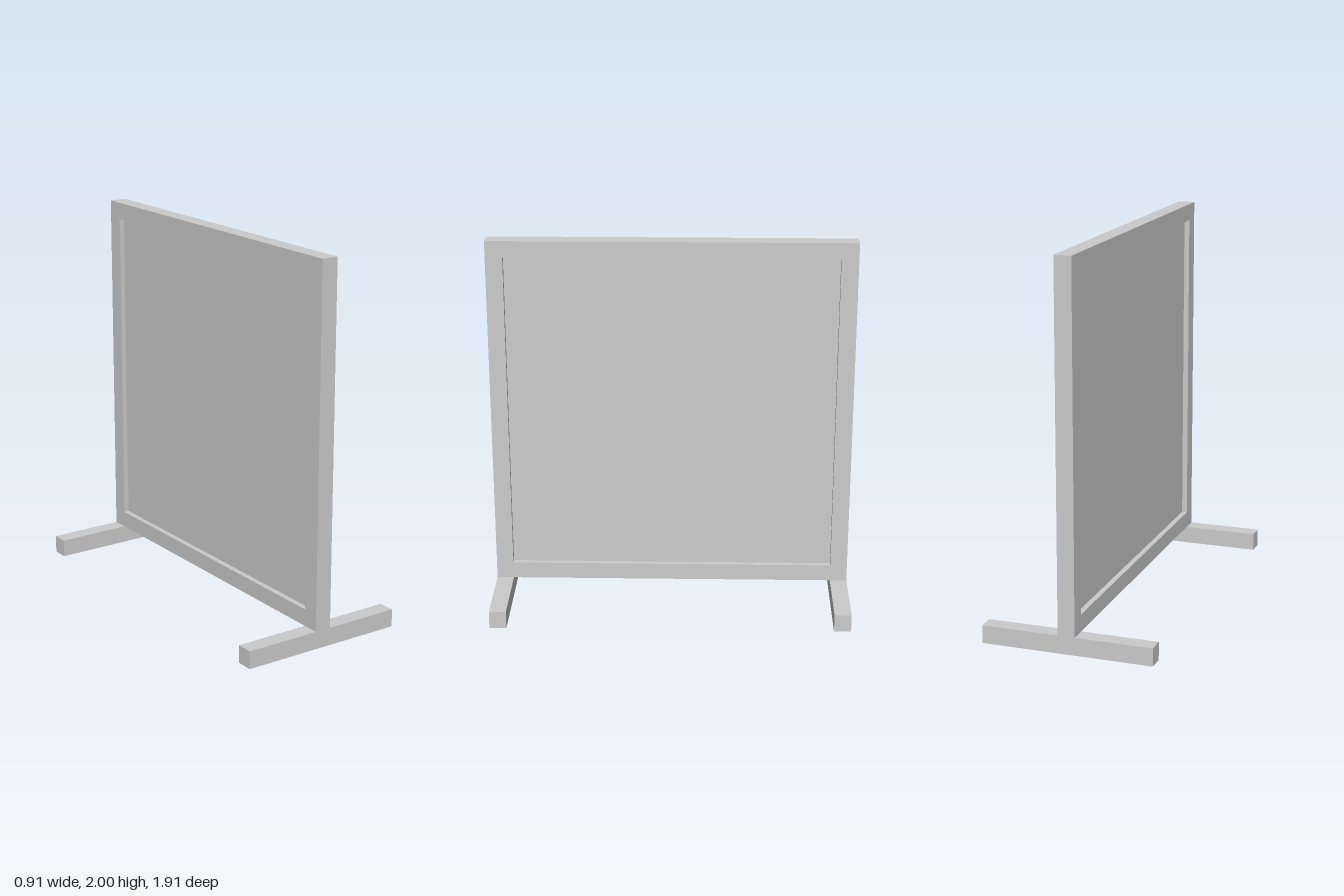
import * as THREE from 'three';

const material = new THREE.MeshStandardMaterial({ color: 0xcccccc, flatShading: true });

const BAR = 0.09;        // section of all frame bars and feet
const HALF = 0.955;      // half the screen's length along z
const BOTTOM = 0.095;    // underside of the frame
const TOP = 2;
const FOOT_LENGTH = 0.906;

// Closed rectangle path, wound either way
function rectangle(target, z, y0, y1) {
  target.moveTo(-z, y0);
  target.lineTo(z, y0);
  target.lineTo(z, y1);
  target.lineTo(-z, y1);
  target.closePath();
  return target;
}

function add(group, name, geometry, x, y, z) {
  const mesh = new THREE.Mesh(geometry, material);
  mesh.name = name;
  mesh.position.set(x, y, z);
  group.add(mesh);
  return mesh;
}

export function createModel() {
  const model = new THREE.Group();
  model.name = 'partitionScreen';

  // Rectangular frame, one extrusion with the opening cut out
  const outline = rectangle(new THREE.Shape(), HALF, BOTTOM, TOP);
  outline.holes.push(rectangle(new THREE.Path(), HALF - BAR, BOTTOM + BAR, TOP - BAR));
  const frame = new THREE.ExtrudeGeometry(outline, { depth: BAR, bevelEnabled: false });
  frame.translate(0, 0, -BAR / 2);
  frame.rotateY(Math.PI / 2);
  add(model, 'frame', frame, 0, 0, 0);

  // Thin infill panel, recessed on both faces
  const panel = new THREE.BoxGeometry(0.032, TOP - BOTTOM - 2 * BAR, 2 * (HALF - BAR));
  add(model, 'panel', panel, 0, (TOP + BOTTOM) / 2, 0);

  // Crosswise foot under each end
  const foot = new THREE.BoxGeometry(FOOT_LENGTH, BOTTOM, BAR);
  for (const [name, side] of [['frontFoot', 1], ['backFoot', -1]]) {
    add(model, name, foot, 0, BOTTOM / 2, side * (HALF - BAR / 2));
  }

  return model;
}
